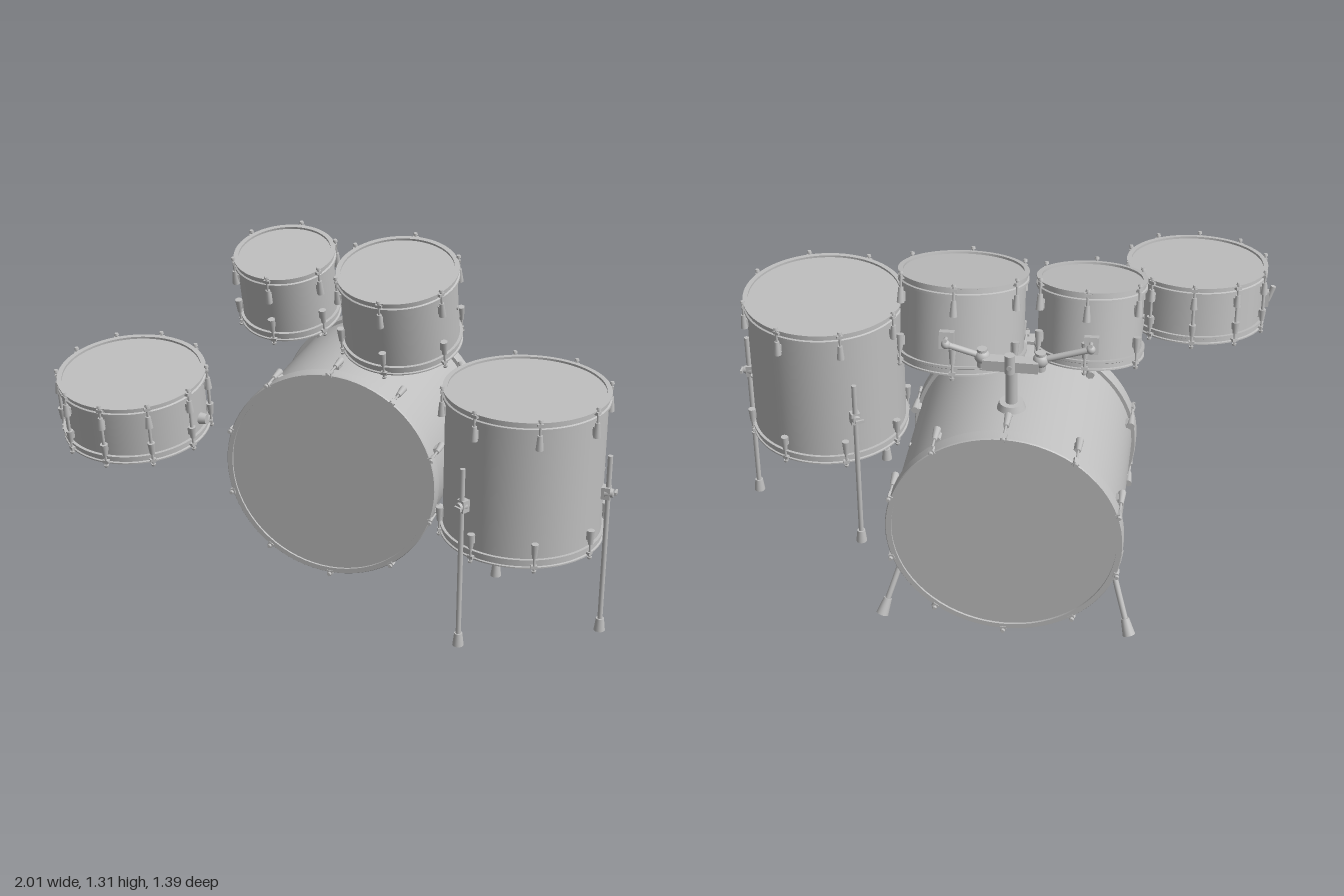
import * as THREE from 'three';
import { toCreasedNormals } from 'three/addons/utils/BufferGeometryUtils.js';

const grey = new THREE.MeshStandardMaterial({ color: 0xbfbfbf });
grey.name = 'plain grey';

const V = (x, y, z) => new THREE.Vector3(x, y, z);

function add(parent, name, geometry, x = 0, y = 0, z = 0) {
  const mesh = new THREE.Mesh(geometry, grey);
  mesh.name = name;
  mesh.position.set(x, y, z);
  parent.add(mesh);
  return mesh;
}

// Round bar from a to b, with radius ra at a and rb at b
function bar(parent, name, a, b, ra, rb = ra, sides = 14) {
  const d = b.clone().sub(a);
  const mesh = add(parent, name, new THREE.CylinderGeometry(rb, ra, d.length(), sides));
  mesh.position.copy(a).addScaledVector(d, 0.5);
  mesh.quaternion.setFromUnitVectors(V(0, 1, 0), d.normalize());
  return mesh;
}

function ring(profile) {
  const pts = profile.map(([r, y]) => new THREE.Vector2(r, y));
  return toCreasedNormals(new THREE.LatheGeometry(pts, 72), 0.5);
}

// Hoop whose outer rim sits at y = h; flipped for the lower end
function hoopGeometry(R, depth, h, wood) {
  const t = 0.018;
  return ring(wood
    ? [[R - 0.022, h - depth], [R - 0.003, h - depth], [R, h - depth + 0.004], [R, h - 0.004],
       [R - 0.003, h], [R - 0.022, h], [R - 0.022, h - depth]]
    : [[R - t, h - depth], [R, h - depth], [R, h - depth + 0.009], [R - 0.006, h - depth + 0.012],
       [R - 0.006, h - 0.007], [R, h - 0.005], [R, h], [R - t, h], [R - t, h - depth]]);
}

// Drum along local y, centred on its own origin
function drum(name, { R, height, lugs, first = 0, depth = 0.034, wood = false, lugLength = 0.055, lugGap = 0.045, tube = false }) {
  const g = new THREE.Group();
  g.name = name;
  const h = height / 2;
  const shellR = R - (wood ? 0.016 : 0.011);
  add(g, 'shell', new THREE.CylinderGeometry(shellR, shellR, height - 0.03, 72, 1, true));
  for (const s of [1, -1]) {
    const end = new THREE.Group();
    end.name = s > 0 ? 'upperEnd' : 'lowerEnd';
    if (s < 0) end.rotation.x = Math.PI;
    g.add(end);
    add(end, 'hoop', hoopGeometry(R, depth, h, wood));
    add(end, 'head', new THREE.CylinderGeometry(R - 0.015, R - 0.015, 0.006, 72), 0, h - 0.011, 0);
    for (let i = 0; i < lugs; i++) {
      const tension = new THREE.Group();
      tension.name = 'tensionLug';
      // The lower end is turned over, so its angles run the other way
      const a = first + (i / lugs) * Math.PI * 2;
      tension.rotation.y = s > 0 ? a : Math.PI - a;
      end.add(tension);
      const r = R + 0.003;
      const top = h - lugGap;
      bar(tension, 'lug', V(0, top - lugLength, r), V(0, top, r), 0.014, 0.009, 10);
      add(tension, 'lugFoot', new THREE.BoxGeometry(0.016, lugLength * 0.6, 0.022), 0, top - lugLength * 0.6, r - 0.009);
      bar(tension, 'tensionRod', V(0, top, r), V(0, h + 0.008, r), 0.0045, 0.0045, 8);
      add(tension, 'claw', new THREE.BoxGeometry(0.022, wood ? 0.03 : 0.012, 0.018), 0, h - (wood ? 0.012 : 0.008), r - 0.004);
      add(tension, 'boltHead', new THREE.CylinderGeometry(0.007, 0.009, 0.008, 8), 0, h + 0.01, r);
      if (tube && s > 0) bar(tension, 'lugTube', V(0, -h + lugGap, r), V(0, top, r), 0.006, 0.006, 10);
    }
  }
  return g;
}

// Small air vent on the shell, at angle a from local +z
function vent(parent, r, a, y) {
  const d = V(Math.sin(a), 0, Math.cos(a));
  bar(parent, 'airVent', d.clone().multiplyScalar(r - 0.005).setY(y), d.clone().multiplyScalar(r + 0.005).setY(y), 0.008);
}

function place(root, part, x, y, z, tilt) {
  part.position.set(x, y, z);
  part.rotation.x = tilt;
  root.add(part);
  return part;
}

export function createModel() {
  const root = new THREE.Group();
  root.name = 'drumKit';

  // Bass drum lying on its side
  const bass = place(root, drum('bassDrum', { R: 0.418, height: 0.68, lugs: 10, depth: 0.056, wood: true, lugLength: 0.066, lugGap: 0.072 }),
    -0.105, 0.453, -0.34, Math.PI / 2);
  vent(bass, 0.402, Math.PI * 0.62, -0.04);

  // Bass drum spurs
  for (const s of [1, -1]) {
    const spur = new THREE.Group();
    spur.name = s > 0 ? 'leftSpur' : 'rightSpur';
    spur.position.x = -0.105;
    root.add(spur);
    const pivot = V(s * 0.37, 0.26, -0.527), foot = V(s * 0.447, 0.025, -0.622);
    bar(spur, 'spurMount', V(s * 0.335, 0.275, -0.527), V(s * 0.385, 0.255, -0.527), 0.026, 0.023, 20);
    bar(spur, 'spurRod', pivot, foot, 0.0105);
    bar(spur, 'spurFoot', pivot.clone().lerp(foot, 0.82), pivot.clone().lerp(foot, 1.06), 0.015, 0.023, 16);
  }

  // Floor tom with three legs
  const floorTom = place(root, drum('floorTom', { R: 0.3, height: 0.565, lugs: 8, first: Math.PI / 8 }), 0.658, 0.667, 0.048, 0);
  vent(floorTom, 0.289, 1.93, -0.04);
  for (let i = 0; i < 3; i++) {
    const leg = new THREE.Group();
    leg.name = 'floorTomLeg';
    leg.position.set(0.658, 0, 0.048);
    leg.rotation.y = Math.PI / 2 + (i * Math.PI * 2) / 3;
    root.add(leg);
    bar(leg, 'legRod', V(0, 0.03, 0.311), V(0, 0.73, 0.311), 0.0095);
    add(leg, 'legFoot', new THREE.CylinderGeometry(0.015, 0.021, 0.05, 18), 0, 0.04, 0.311);
    add(leg, 'legBracket', new THREE.BoxGeometry(0.034, 0.046, 0.034), 0, 0.585, 0.303);
    bar(leg, 'legClamp', V(0, 0.585, 0.3), V(0, 0.585, 0.33), 0.02, 0.015, 16);
    add(leg, 'wingScrew', new THREE.BoxGeometry(0.032, 0.012, 0.008), 0.008, 0.585, 0.338);
  }

  // Snare drum with throw-off lever and butt plate
  const snare = place(root, drum('snareDrum', { R: 0.266, height: 0.225, lugs: 10, depth: 0.03, lugLength: 0.045, lugGap: 0.036, tube: true }),
    -0.703, 0.865, 0.405, 0.13);
  add(snare, 'throwOff', new THREE.BoxGeometry(0.024, 0.06, 0.034), -0.266, -0.02, 0);
  bar(snare, 'throwOffLever', V(-0.275, -0.03, 0), V(-0.292, 0.03, 0), 0.008, 0.011);
  bar(snare, 'buttPlate', V(0.25, -0.042, 0.006), V(0.28, -0.042, 0.006), 0.022, 0.018, 20);

  // Two rack toms tilted towards the front
  const toms = [
    { name: 'smallTom', R: 0.192, height: 0.275, x: -0.354, y: 1.118, z: -0.247, s: -1 },
    { name: 'largeTom', R: 0.229, height: 0.315, x: 0.095, y: 1.087, z: -0.236, s: 1 },
  ];
  for (const t of toms) {
    const tom = place(root, drum(t.name, { R: t.R, height: t.height, lugs: 6 }), t.x, t.y, t.z, 0.235);
    vent(tom, t.R - 0.011, t.s * 1.63, 0.01);
  }

  // Tom holder: flange, post and clamp bar on the bass drum
  const holder = new THREE.Group();
  holder.name = 'tomHolder';
  holder.position.x = -0.105;
  root.add(holder);
  add(holder, 'flange', new THREE.CylinderGeometry(0.042, 0.052, 0.03, 28), 0, 0.862, -0.459);
  add(holder, 'post', new THREE.CylinderGeometry(0.021, 0.021, 0.19, 24), 0, 0.96, -0.459);
  add(holder, 'clampBar', new THREE.BoxGeometry(0.19, 0.04, 0.045), 0, 1.045, -0.482);
  bar(holder, 'clampBolt', V(0, 1.03, -0.512), V(0, 1.1, -0.512), 0.018);
  bar(holder, 'clampKnob', V(0, 1.057, -0.49), V(0, 1.057, -0.532), 0.009);
  for (const t of toms) {
    const ball = V(t.s * 0.1, 1.06, -0.468);
    const backZ = t.s > 0 ? -0.482 : -0.452;
    const elbow = V(t.x + 0.105 + t.s * 0.02, 1.115, backZ - 0.015);
    add(holder, 'ballJoint', new THREE.SphereGeometry(0.027, 20, 14)).position.copy(ball);
    bar(holder, 'ballClamp', ball.clone().setY(1.02), ball.clone().setY(1.09), 0.018);
    bar(holder, 'tomArm', ball, elbow, 0.011);
    add(holder, 'armElbow', new THREE.SphereGeometry(0.016, 16, 12)).position.copy(elbow);
    // Bracket on the back of the tom
    const mount = add(holder, 'tomBracket', new THREE.BoxGeometry(0.05, 0.06, 0.03), elbow.x, 1.12, backZ + 0.008);
    mount.rotation.x = 0.235;
    bar(holder, 'bracketScrew', V(elbow.x, 1.13, backZ), V(elbow.x, 1.14, backZ - 0.035), 0.007);
  }

  return root;
}
